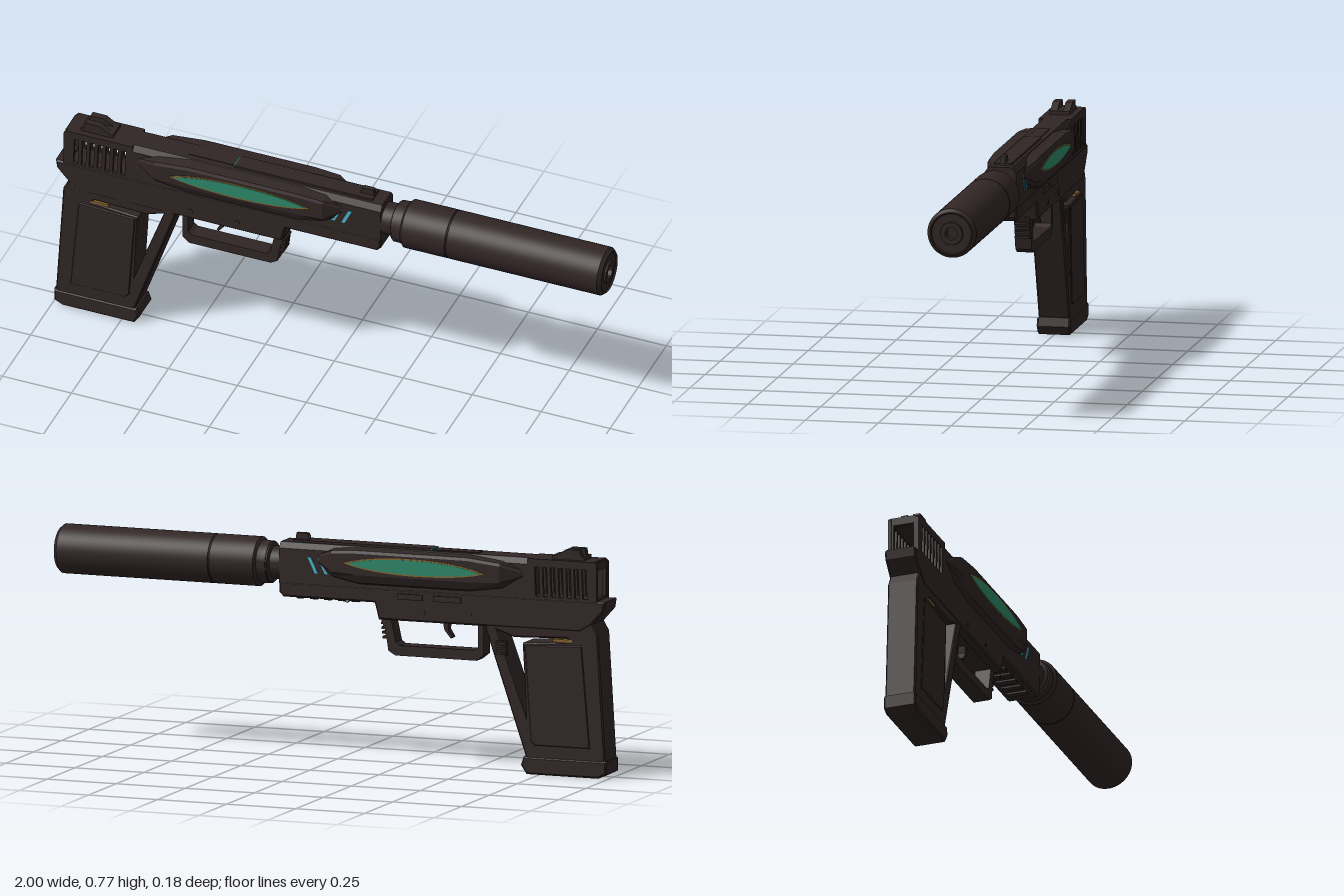
import * as THREE from 'three';
import { toCreasedNormals } from 'three/addons/utils/BufferGeometryUtils.js';

const mat = (name, color, side = THREE.FrontSide) => {
  const m = new THREE.MeshStandardMaterial({ color, side });
  m.name = name;
  return m;
};

export function createModel() {
  const root = new THREE.Group();
  const body = mat('dark body', 0x322626);
  const teal = mat('teal window', 0x2f8a6c);
  const gold = mat('gold trim', 0x8a6630);
  const cyan = mat('cyan stripe', 0x45b8cc);

  const add = (name, geo, m = body, x = 0, y = 0, z = 0) => {
    const mesh = new THREE.Mesh(geo, m);
    mesh.name = name;
    mesh.position.set(x, y, z);
    root.add(mesh);
    return mesh;
  };
  // box given by its limits
  const box = (name, x0, x1, y0, y1, z0, z1, m = body) =>
    add(name, new THREE.BoxGeometry(x1 - x0, y1 - y0, z1 - z0), m, (x0 + x1) / 2, (y0 + y1) / 2, (z0 + z1) / 2);
  const poly = (pts) => new THREE.Shape(pts.map((p) => new THREE.Vector2(p[0], p[1])));
  // side outline extruded in z, with an inward bevel of size b
  const slab = (name, shape, z0, z1, b = 0, m = body) => {
    const geo = new THREE.ExtrudeGeometry(shape, {
      depth: z1 - z0 - 2 * b, bevelEnabled: b > 0, bevelSize: b, bevelThickness: b,
      bevelOffset: -b, bevelSegments: 1, curveSegments: 12,
    });
    return add(name, geo, m, 0, 0, z0 + b);
  };
  // cross-section (z, y) extruded along x
  const along = (name, shape, x0, x1) => {
    const geo = new THREE.ExtrudeGeometry(shape, { depth: x1 - x0, bevelEnabled: false });
    geo.rotateY(Math.PI / 2);
    return add(name, geo, body, x0);
  };
  // turned part around the bore axis, profile as [x, radius]
  const AXIS = 0.656;
  const turned = (name, pts) => {
    const geo = new THREE.LatheGeometry(pts.map(([x, r]) => new THREE.Vector2(r, x)), 48);
    geo.rotateZ(-Math.PI / 2);
    return add(name, toCreasedNormals(geo, 0.5), body, 0, AXIS, 0);
  };

  // slide: solid front, hollow slotted rear
  along('slideFront', poly([[-0.055, 0.595], [0.055, 0.595], [0.055, 0.715], [0.04, 0.735], [-0.04, 0.735], [-0.055, 0.715]]), -0.715, 0.19);
  const wall = poly([[-0.96, 0.595], [-0.71, 0.595], [-0.71, 0.735], [-0.95, 0.735], [-0.96, 0.725]]);
  for (let i = 0; i < 7; i++) {
    const x = -0.925 + i * 0.0285;
    wall.holes.push(poly([[x, 0.608], [x + 0.016, 0.608], [x + 0.02, 0.708], [x + 0.004, 0.708]]));
  }
  for (const s of [-1, 1]) slab('slideSlottedWall', wall, s * 0.049 - 0.006, s * 0.049 + 0.006);
  box('slideRearRoof', -0.95, -0.71, 0.712, 0.735, -0.045, 0.045);
  const rear = poly([[-0.045, 0.595], [0.045, 0.595], [0.045, 0.732], [-0.045, 0.732]]);
  rear.holes.push(poly([[-0.036, 0.61], [0.036, 0.61], [0.036, 0.705], [-0.036, 0.705]]));
  along('slideRearFrame', rear, -0.958, -0.942);

  // top rail and sights
  box('topRail', -0.35, 0.15, 0.73, 0.742, -0.03, 0.03);
  box('topRailRear', -0.52, -0.35, 0.73, 0.738, -0.022, 0.022);
  box('railLight', -0.354, -0.35, 0.736, 0.742, -0.028, 0.028, teal);
  box('rearSightBase', -0.905, -0.79, 0.73, 0.748, -0.034, 0.034);
  for (const s of [-1, 1])
    slab('rearSightPost', poly([[-0.895, 0.745], [-0.8, 0.745], [-0.84, 0.77], [-0.89, 0.77]]), s * 0.022 - 0.012, s * 0.022 + 0.012);
  slab('frontSight', poly([[0.095, 0.73], [0.15, 0.73], [0.145, 0.763], [0.105, 0.763]]), -0.009, 0.009);
  box('frontSightDot', 0.098, 0.102, 0.744, 0.756, -0.005, 0.005, teal);

  // swollen side pods, lofted along x: [x, half width, top, middle, bottom]
  const stations = [
    [-0.70, 0.053, 0.685, 0.675, 0.665], [-0.62, 0.087, 0.712, 0.65, 0.625],
    [-0.5, 0.087, 0.724, 0.645, 0.607], [-0.1, 0.087, 0.724, 0.645, 0.607],
    [-0.01, 0.085, 0.718, 0.65, 0.625], [0.055, 0.053, 0.695, 0.68, 0.66],
  ];
  for (const s of [-1, 1]) {
    const pos = [];
    const rings = stations.map(([x, w, t, m, b]) =>
      [[0.03, t + 0.01], [w - 0.005, t + 0.004], [w, t - 0.006], [w, m], [w - 0.012, b + 0.01], [0.045, b]].map(([z, y]) => [x, y, s * z]));
    const tri = (a, b, c) => pos.push(...(s > 0 ? [a, b, c] : [a, c, b]).flat());
    for (let i = 0; i < rings.length - 1; i++)
      for (let j = 0; j < 5; j++) {
        const [a, b, c, d] = [rings[i][j], rings[i][j + 1], rings[i + 1][j + 1], rings[i + 1][j]];
        tri(a, b, c);
        tri(a, c, d);
      }
    const geo = new THREE.BufferGeometry();
    geo.setAttribute('position', new THREE.Float32BufferAttribute(pos, 3));
    geo.computeVertexNormals();
    add('sidePod', geo);
  }

  // lens-shaped windows with gold rims, and slanted stripes, on both sides
  const lens = (a, h) => {
    const sh = new THREE.Shape();
    sh.moveTo(-0.31 - a, 0.676);
    sh.bezierCurveTo(-0.31 - a * 0.55, 0.683 + h * 1.4, -0.31 + a * 0.55, 0.683 + h * 1.4, -0.31 + a, 0.684);
    sh.bezierCurveTo(-0.31 + a * 0.55, 0.683 - h * 1.4, -0.31 - a * 0.55, 0.683 - h * 1.4, -0.31 - a, 0.676);
    return sh;
  };
  for (const s of [-1, 1]) {
    const plate = (name, sh, z, t, m) => slab(name, sh, s * z - t / 2, s * z + t / 2, 0, m);
    plate('windowRim', lens(0.255, 0.028), 0.086, 0.005, gold);
    plate('window', lens(0.24, 0.0235), 0.087, 0.006, teal);
    for (const x of [0.012, 0.048])
      plate('stripe', poly([[x, 0.636], [x + 0.012, 0.636], [x + 0.038, 0.69], [x + 0.026, 0.69]]), 0.055, 0.004, cyan);
  }

  // frame with rear tang and dust cover
  slab('frame', poly([[-0.99, 0.602], [-0.985, 0.57], [-0.94, 0.52], [-0.9, 0.495], [-0.17, 0.493],
    [-0.155, 0.55], [0.175, 0.55], [0.19, 0.565], [0.19, 0.602]]), -0.056, 0.056, 0.006);
  for (let i = 0; i < 5; i++) box('dustCoverRib', -0.09 + i * 0.05, -0.065 + i * 0.05, 0.544, 0.552, -0.035, 0.035);
  add('lanyardRing', new THREE.TorusGeometry(0.008, 0.002, 6, 16), body, -0.035, 0.544, 0);

  // trigger guard, ribs and trigger
  const guard = poly([[-0.54, 0.5], [-0.54, 0.39], [-0.515, 0.37], [-0.22, 0.37], [-0.195, 0.385], [-0.185, 0.45], [-0.165, 0.5]]);
  guard.holes.push(poly([[-0.52, 0.492], [-0.52, 0.415], [-0.505, 0.405], [-0.235, 0.405], [-0.222, 0.415], [-0.205, 0.492]]));
  slab('triggerGuard', guard, -0.028, 0.028);
  for (let i = 0; i < 4; i++) box('guardRib', -0.2, -0.173 + i * 0.002, 0.425 + i * 0.016, 0.433 + i * 0.016, -0.026, 0.026);
  slab('trigger', poly([[-0.41, 0.5], [-0.385, 0.5], [-0.392, 0.465], [-0.415, 0.437], [-0.422, 0.441], [-0.405, 0.468]]), -0.013, 0.013);

  // grip with a see-through gap behind the front strap
  const grip = poly([[-0.94, 0.53], [-0.963, 0.49], [-0.99, 0.05], [-0.705, 0.05], [-0.555, 0.49], [-0.57, 0.53]]);
  grip.holes.push(poly([[-0.86, 0.458], [-0.69, 0.445], [-0.705, 0.19], [-0.598, 0.485], [-0.66, 0.463], [-0.85, 0.47]]));
  slab('grip', grip, -0.054, 0.054, 0.005);
  for (const s of [-1, 1])
    slab('gripPanel', poly([[-0.905, 0.448], [-0.7, 0.437], [-0.722, 0.115], [-0.735, 0.1], [-0.935, 0.1]]), s * 0.054 - 0.003, s * 0.054 + 0.003, 0.0025);
  box('gripInlay', -0.87, -0.8, 0.456, 0.466, -0.054, 0.054, gold);
  slab('gripBase', poly([[-0.995, 0.06], [-0.995, 0.015], [-0.965, 0], [-0.705, 0], [-0.685, 0.03], [-0.695, 0.06]]), -0.058, 0.058, 0.006);

  // controls on the right side, and pins on both
  box('slideRelease', -0.47, -0.37, 0.567, 0.587, -0.062, -0.05);
  box('takedownLever', -0.33, -0.24, 0.567, 0.587, -0.061, -0.05);
  box('magazineButton', -0.635, -0.595, 0.4, 0.448, -0.058, -0.045);
  for (let i = 0; i < 4; i++) box('buttonRib', -0.633, -0.597, 0.402 + i * 0.012, 0.409 + i * 0.012, -0.063, -0.056);
  const pin = new THREE.CylinderGeometry(0.01, 0.01, 0.116, 16).rotateX(Math.PI / 2);
  for (const x of [-0.5, -0.33]) add('framePin', pin, body, x, 0.525, 0);

  // barrel, collar and long cylindrical muzzle tube
  turned('barrel', [[0.18, 0.052], [0.24, 0.052]]);
  turned('collar', [[0.19, 0], [0.19, 0.056], [0.225, 0.056], [0.23, 0.068], [0.265, 0.074], [0.275, 0.074]]);
  turned('muzzleTube', [[0.235, 0.05], [0.235, 0.072], [0.265, 0.072], [0.275, 0.084], [0.432, 0.084], [0.434, 0.0825],
    [0.437, 0.0825], [0.439, 0.084], [0.985, 0.084], [0.998, 0.073], [0.998, 0.07], [0.993, 0.067], [0.993, 0.04],
    [1.0, 0.038], [1.0, 0.021], [0.96, 0.021], [0.96, 0]]);
  return root;
}
